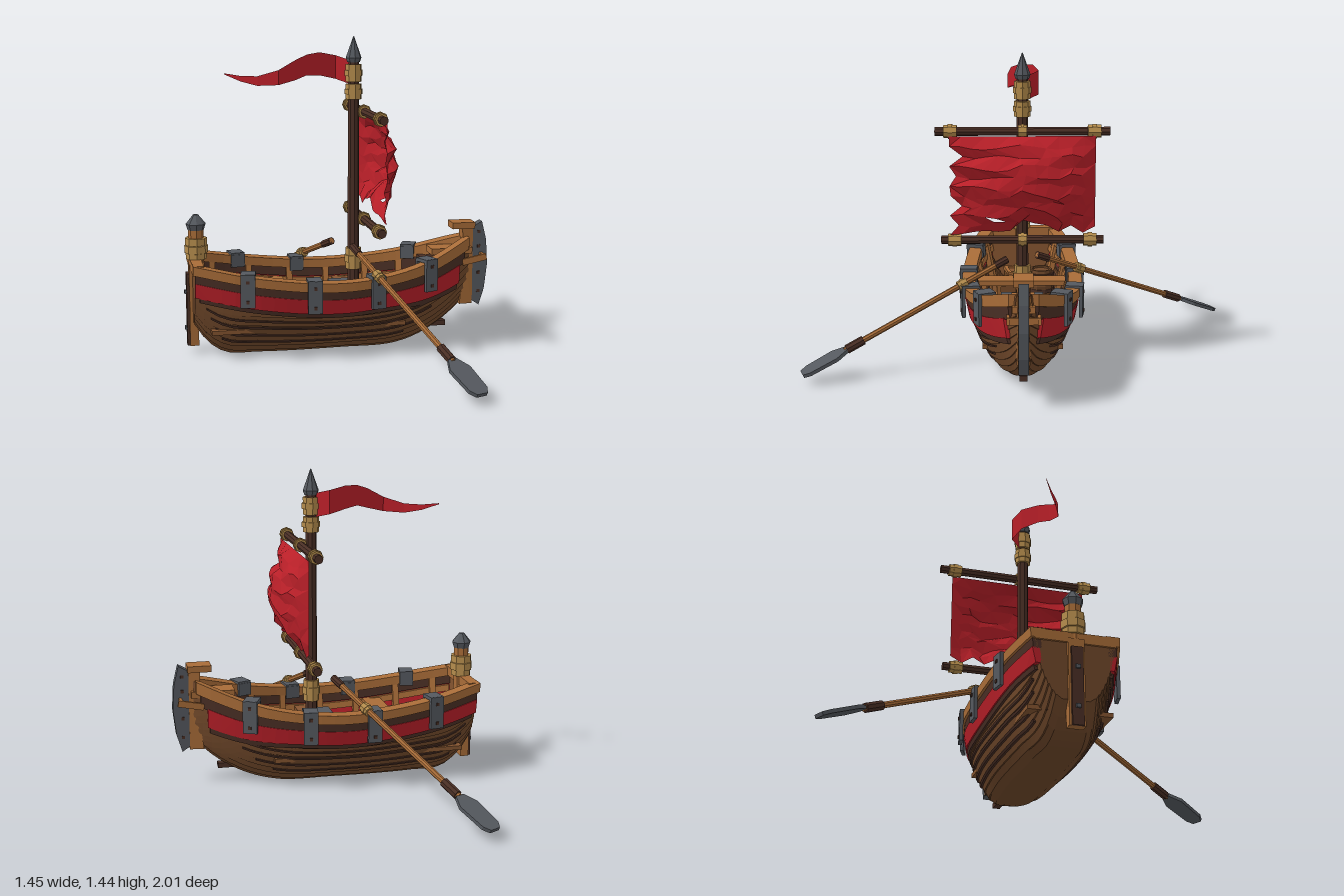
import * as THREE from 'three';

const mat = (color) => new THREE.MeshStandardMaterial({ color, flatShading: true, side: THREE.DoubleSide });
const WOOD = mat(0xa86c38), HULL = mat(0x70482a), DARK = mat(0x4a2f25), RED = mat(0xb81f28);
const IRON = mat(0x55595f), ROPE = mat(0xb48c4c), PLANK = mat(0x855530);
const V = (x, y, z) => new THREE.Vector3(x, y, z);

// Smooth curve through a few [x, value] pairs
function curve(pairs) {
  const c = new THREE.CubicInterpolant(pairs.map((p) => p[0]), pairs.map((p) => p[1]), 1, new Float32Array(1));
  return (x) => c.evaluate(x)[0];
}
const sheer = curve([[-0.7, 0.44], [-0.4, 0.385], [-0.1, 0.355], [0.1, 0.36], [0.35, 0.4], [0.63, 0.495]]);
const keel = curve([[-0.7, 0.16], [-0.64, 0.07], [-0.56, 0.01], [-0.4, 0], [0, 0], [0.25, 0.002], [0.4, 0.035], [0.52, 0.1], [0.63, 0.2]]);
const beam = curve([[-0.7, 0.165], [-0.5, 0.222], [-0.25, 0.252], [0, 0.255], [0.2, 0.228], [0.4, 0.165], [0.55, 0.085], [0.63, 0.03]]);

// Half width of the hull at height fraction t, or at height y
function hullT(x, t) {
  const base = 0.35 * (1 - THREE.MathUtils.smoothstep(x, 0.2, 0.6));
  return beam(x) * (base + (1 - base) * Math.sin(Math.PI / 2 * Math.pow(THREE.MathUtils.clamp(t, 0, 1), 0.7)));
}
const hullZ = (x, y) => hullT(x, (y - keel(x)) / (sheer(x) - keel(x)));

// Surface through rings of points; optional wrap and end caps
function loft(rings, closed) {
  const n = rings[0].length, idx = [];
  for (let i = 0; i < rings.length - 1; i++)
    for (let j = 0; j < (closed ? n : n - 1); j++) {
      const a = i * n + j, b = i * n + (j + 1) % n;
      idx.push(a, b, a + n, b, b + n, a + n);
    }
  if (closed) for (let j = 1; j < n - 1; j++) {
    const e = (rings.length - 1) * n;
    idx.push(0, j + 1, j, e, e + j, e + j + 1);
  }
  const g = new THREE.BufferGeometry().setFromPoints(rings.flat());
  g.setIndex(idx);
  const flat = g.toNonIndexed();
  flat.computeVertexNormals();
  return flat;
}
const steps = (a, b, n) => Array.from({ length: n + 1 }, (_, i) => a + (b - a) * i / n);

export function createModel() {
  const model = new THREE.Group();
  const add = (name, geo, m, parent = model) => {
    const mesh = new THREE.Mesh(geo, m);
    mesh.name = name;
    parent.add(mesh);
    return mesh;
  };
  const box = (name, m, x, y, z, w, h, d, parent) => {
    const mesh = add(name, new THREE.BoxGeometry(w, h, d), m, parent);
    mesh.position.set(x, y, z);
    return mesh;
  };
  const rod = (name, m, a, b, r0, r1 = r0, sides = 8) => {
    const mesh = add(name, new THREE.CylinderGeometry(r1, r0, a.distanceTo(b), sides), m);
    mesh.position.copy(a).lerp(b, 0.5);
    mesh.quaternion.setFromUnitVectors(V(0, 1, 0), b.clone().sub(a).normalize());
    return mesh;
  };
  // Rope binding: three turns of slightly different size
  const binding = (at, dir, r, len) => {
    for (let i = 0; i < 3; i++) {
      const p = (k) => at.clone().addScaledVector(dir, len * (k / 3 - 0.5));
      rod('ropeBinding', ROPE, p(i), p(i + 1), r * (i === 1 ? 1.12 : 0.98));
    }
  };
  // Strip following both hull sides between two height rules
  const strip = (name, m, x0, x1, lo, hi, inner, outer, n = 22) => {
    for (const s of [-1, 1])
      add(name, loft(steps(x0, x1, n).map((x) => {
        const a = lo(x), b = hi(x), za = hullZ(x, a), zb = hullZ(x, b);
        return [V(x, a, s * Math.max(0, za - inner)), V(x, a, s * (za + outer)), V(x, b, s * (zb + outer)), V(x, b, s * Math.max(0, zb - inner))];
      }), true), m);
  };
  const below = (d) => (x) => sheer(x) - d * (1 + 0.35 * THREE.MathUtils.smoothstep(x, 0.1, 0.6));
  const frac = (t) => (x) => keel(x) + t * (sheer(x) - keel(x));

  // Hull with overlapping planks, and transom
  const ts = [0, 0.05, 0.12, 0.2, 0.29, 0.4, 0.52, 0.66, 0.82, 0.98];
  const section = (x) => {
    const half = [];
    for (let i = 0; i < ts.length - 1; i++)
      for (const [t, o] of [[ts[i], i ? 0.006 : 0], [ts[i + 1], 0]]) half.push([frac(t)(x), hullT(x, t) + o]);
    return [...half.slice().reverse().map(([y, z]) => V(x, y, z)), ...half.map(([y, z]) => V(x, y, -z))];
  };
  add('hull', loft(steps(-0.69, 0.63, 33).map(section), false), HULL);
  const bottom = section(-0.69);
  add('transom', loft([bottom, bottom.map((p) => V(-0.69, sheer(-0.69) - 0.01, p.z))], false), HULL);
  add('transomLining', loft([bottom.map((p) => V(-0.665, p.y, p.z)), bottom.map((p) => V(-0.665, 0.42, p.z))], false), PLANK);
  box('transomRail', WOOD, -0.675, 0.415, 0, 0.05, 0.045, 0.35);

  // Rails, wales, painted band and plank edges
  strip('gunwale', WOOD, -0.7, 0.62, below(0.042), below(0), 0.035, 0.028);
  strip('upperWale', DARK, -0.69, 0.6, below(0.085), below(0.04), 0.02, 0.016);
  strip('paintedBand', RED, -0.69, 0.57, below(0.148), below(0.08), 0.01, 0.02);
  strip('lowerWale', DARK, -0.67, 0.56, below(0.168), below(0.146), 0.01, 0.014);
  [[0.45, -0.64, 0.5], [0.36, -0.62, 0.42], [0.26, -0.6, 0.36], [0.17, -0.57, 0.28]].forEach(([t, a, b]) =>
    strip('plankEdge', DARK, a, b, frac(t), frac(t + 0.025), 0.01, 0.011));
  strip('innerStringer', WOOD, -0.66, 0.5, below(0.12), below(0.09), 0.025, -0.004);
  for (const x of [-0.58, -0.4, -0.2, -0.02, 0.17, 0.33])
    strip('rib', WOOD, x - 0.014, x + 0.014, () => 0.14, below(0.03), 0.03, -0.004, 1);

  // Floor, benches and foredeck
  for (let k = -2; k <= 2; k++) {
    const a = -0.66 + Math.abs(k) * 0.02, b = 0.46 - Math.abs(k) * 0.09;
    box('floorPlank', k % 2 ? DARK : PLANK, (a + b) / 2, 0.12 + (k % 2 ? 0 : 0.006), k * 0.074, b - a, 0.02, 0.07);
  }
  box('bench', WOOD, -0.28, 0.265, 0, 0.09, 0.025, 0.44);
  box('mastBench', PLANK, 0.06, 0.25, 0, 0.1, 0.03, 0.46);
  box('mastPlate', IRON, 0.03, 0.275, 0, 0.13, 0.02, 0.2);
  box('bowBeam', DARK, 0.43, 0.36, 0, 0.035, 0.04, 0.25);
  box('foredeck', WOOD, 0.54, 0.425, 0, 0.2, 0.03, 0.1);

  // Iron clamps over the rails
  for (const x of [-0.465, -0.165, 0.13, 0.395]) for (const s of [-1, 1]) {
    const y = sheer(x), z = beam(x) + 0.034;
    const clamp = new THREE.Group();
    clamp.name = 'railClamp';
    clamp.position.set(x, y, s * z);
    clamp.rotation.y = s * Math.atan((beam(x - 0.05) - beam(x + 0.05)) / 0.1);
    box('clampPlate', IRON, 0, -0.062, 0, 0.066, 0.15, 0.016, clamp);
    box('clampTop', IRON, 0, 0.006, -s * 0.034, 0.066, 0.016, 0.08, clamp);
    box('clampInside', IRON, 0, -0.025, -s * 0.07, 0.066, 0.06, 0.014, clamp);
    for (const ry of [-0.11, -0.02]) box('rivet', DARK, 0, ry, s * 0.009, 0.014, 0.014, 0.008, clamp);
    model.add(clamp);
  }

  // Bow: stem, cap, iron cutwater and brace
  add('stem', loft([[0.16, 0.585, 0.65], [0.35, 0.61, 0.65], [0.54, 0.595, 0.65]].map(([y, a, b]) =>
    [V(a, y, 0.03), V(b, y, 0.024), V(b, y, -0.024), V(a, y, -0.03)]), true), WOOD);
  box('stemCap', WOOD, 0.6, 0.545, 0, 0.11, 0.03, 0.085);
  const blade = new THREE.Shape([[0.64, 0.18], [0.685, 0.15], [0.71, 0.23], [0.724, 0.35], [0.717, 0.47], [0.695, 0.56], [0.65, 0.535]].map((p) => new THREE.Vector2(...p)));
  add('cutwater', new THREE.ExtrudeGeometry(blade, { depth: 0.044, bevelEnabled: false }), IRON).position.z = -0.022;
  for (const y of [0.22, 0.31, 0.44, 0.51]) box('rivet', DARK, 0.68, y, 0, 0.014, 0.014, 0.054);
  for (const s of [-1, 1]) {
    const arm = box('bowBrace', WOOD, 0.645, 0.385, s * 0.066, 0.12, 0.03, 0.014);
    arm.rotation.z = 0.2;
    box('braceEnd', WOOD, 0.69, 0.394, s * 0.045, 0.014, 0.03, 0.05);
  }
  box('keelSpur', DARK, 0.46, 0.068, 0, 0.12, 0.024, 0.035);

  // Stern post with wrapped lantern-like head
  box('sternPost', WOOD, -0.685, 0.22, 0, 0.04, 0.38, 0.07);
  box('sternStrap', DARK, -0.709, 0.2, 0, 0.016, 0.34, 0.05);
  for (const y of [0.11, 0.28]) box('rivet', IRON, -0.72, y, 0, 0.012, 0.016, 0.02);
  const st = (y) => V(-0.668, y, 0);
  rod('sternHead', WOOD, st(0.36), st(0.575), 0.036);
  [[0.435, 0.462, 0.048], [0.464, 0.498, 0.054], [0.5, 0.533, 0.05]].forEach(([a, b, r]) => rod('ropeBinding', ROPE, st(a), st(b), r));
  rod('sternCapBase', IRON, st(0.57), st(0.598), 0.037, 0.046);
  rod('sternCap', IRON, st(0.598), st(0.64), 0.046, 0.012);

  // Mast and yards
  const m = (y) => V(0.07, y, 0);
  rod('mast', DARK, m(0.12), m(1.34), 0.029, 0.025);
  rod('mastTipBase', IRON, m(1.325), m(1.345), 0.03, 0.037);
  rod('mastTip', IRON, m(1.345), m(1.442), 0.037, 0.002);
  for (const [y, l] of [[1.275, 0.08], [1.19, 0.07], [0.405, 0.1]]) binding(m(y), V(0, 1, 0), 0.038, l);
  for (const [y, half, wz] of [[1.095, 0.395, 0.325], [0.59, 0.372, 0.31]]) {
    rod('yard', DARK, V(0.12, y, -half), V(0.12, y, half), 0.02);
    for (const z of [-wz, 0, wz]) binding(V(0.12, y, z), V(0, 0, 1), 0.03, z ? 0.06 : 0.04);
  }

  // Torn, billowing sail
  const edge = [0.33, 0.29, 0.33, 0.275, 0.325, 0.33, 0.3, 0.33, 0.27, 0.33, 0.33];
  const hem = [0.62, 0.625, 0.635, 0.64, 0.635, 0.64, 0.69, 0.675, 0.665, 0.635, 0.665, 0.63, 0.66];
  const sail = [], nu = 12, nv = 10;
  const point = (i, j) => {
    const u = i / nu, v = j / nv, inside = i > 0 && i < nu && j > 0 && j < nv;
    const jit = inside ? Math.sin(i * 12.9 + j * 78.2) : 0;
    const z = THREE.MathUtils.lerp(edge[j], -0.33, u) + jit * 0.012;
    const y = THREE.MathUtils.lerp(hem[i], 1.078, v) + (inside ? Math.sin(i * 7.3 + j * 3.7) * 0.01 : 0);
    const bulge = Math.pow(Math.max(0, Math.sin(Math.PI * u) * Math.sin(Math.PI * v)), 0.75);
    return V(0.15 + 0.112 * bulge + jit * 0.01, y, z);
  };
  for (let i = 0; i < nu; i++) for (let j = 0; j < nv; j++) {
    if (i === 3 && j === 1) continue;
    const [a, b, c, d] = [point(i, j), point(i + 1, j), point(i + 1, j + 1), point(i, j + 1)];
    sail.push(...((i + j) % 2 ? [a, b, c, a, c, d] : [a, b, d, b, c, d]));
  }
  const sailGeo = new THREE.BufferGeometry().setFromPoints(sail);
  sailGeo.computeVertexNormals();
  add('sail', sailGeo, RED);

  // Streaming pennant: x, top, bottom, z
  add('pennant', loft([[0.05, 1.335, 1.225, -0.02], [0, 1.352, 1.243, -0.075], [-0.08, 1.368, 1.262, -0.05], [-0.15, 1.362, 1.268, 0.01],
    [-0.21, 1.34, 1.25, 0.05], [-0.29, 1.297, 1.23, 0.066], [-0.38, 1.268, 1.225, 0.025], [-0.45, 1.267, 1.242, -0.02], [-0.52, 1.277, 1.272, -0.065]]
    .map(([x, a, b, z]) => [V(x, a, z), V(x, b, z)]), false), RED);

  // Oars
  for (const [a, b] of [[V(0.05, 0.475, 0.07), V(0.39, 0.04, 0.99)], [V(-0.02, 0.475, -0.07), V(-0.49, 0.045, -0.99)]]) {
    const at = (k) => a.clone().lerp(b, k), dir = b.clone().sub(a).normalize();
    rod('oarShaft', WOOD, a, at(0.8), 0.014);
    rod('oarGrip', DARK, a, at(0.06), 0.018);
    rod('oarSleeve', DARK, at(0.71), at(0.79), 0.021);
    binding(at(0.225), dir, 0.024, 0.045);
    const L = 0.225, outline = [[-0.022, 0], [0.022, 0], [0.052, 0.06], [0.046, 0.195], [0.026, L], [-0.026, L], [-0.046, 0.195], [-0.052, 0.06]];
    const g = new THREE.ExtrudeGeometry(new THREE.Shape(outline.map((p) => new THREE.Vector2(...p))), { depth: 0.016, bevelEnabled: false });
    g.translate(0, 0, -0.008);
    const side = V(0, 1, 0).cross(dir).normalize();
    const paddle = add('oarBlade', g, IRON);
    paddle.quaternion.setFromRotationMatrix(new THREE.Matrix4().makeBasis(side, dir, side.clone().cross(dir)));
    paddle.position.copy(b).addScaledVector(dir, -L);
  }

  // Cargo: barrel and crates
  const barrel = add('barrel', new THREE.LatheGeometry([[0, 0], [0.052, 0], [0.068, 0.07], [0.055, 0.15], [0.045, 0.15], [0.045, 0.14], [0, 0.14]].map((p) => new THREE.Vector2(...p)), 10), HULL);
  barrel.position.set(-0.44, 0.13, -0.1);
  for (const y of [0.165, 0.245]) rod('barrelHoop', DARK, V(-0.44, y, -0.1), V(-0.44, y + 0.018, -0.1), 0.067, 0.067, 10);
  for (const [x, z, r] of [[-0.54, 0.02, 0.2], [-0.355, 0.085, 0.35]]) {
    const crate = new THREE.Group();
    crate.name = 'crate';
    crate.position.set(x, 0.19, z);
    crate.rotation.y = r;
    box('crateBody', PLANK, 0, 0, 0, 0.1, 0.1, 0.1, crate);
    for (const a of [-0.05, 0.05]) for (const b of [-0.05, 0.05]) {
      box('crateFrame', WOOD, 0, a, b, 0.12, 0.018, 0.018, crate);
      box('crateFrame', WOOD, a, b, 0, 0.018, 0.018, 0.12, crate);
      box('crateFrame', WOOD, a, 0, b, 0.018, 0.12, 0.018, crate);
    }
    model.add(crate);
  }
  return model;
}
